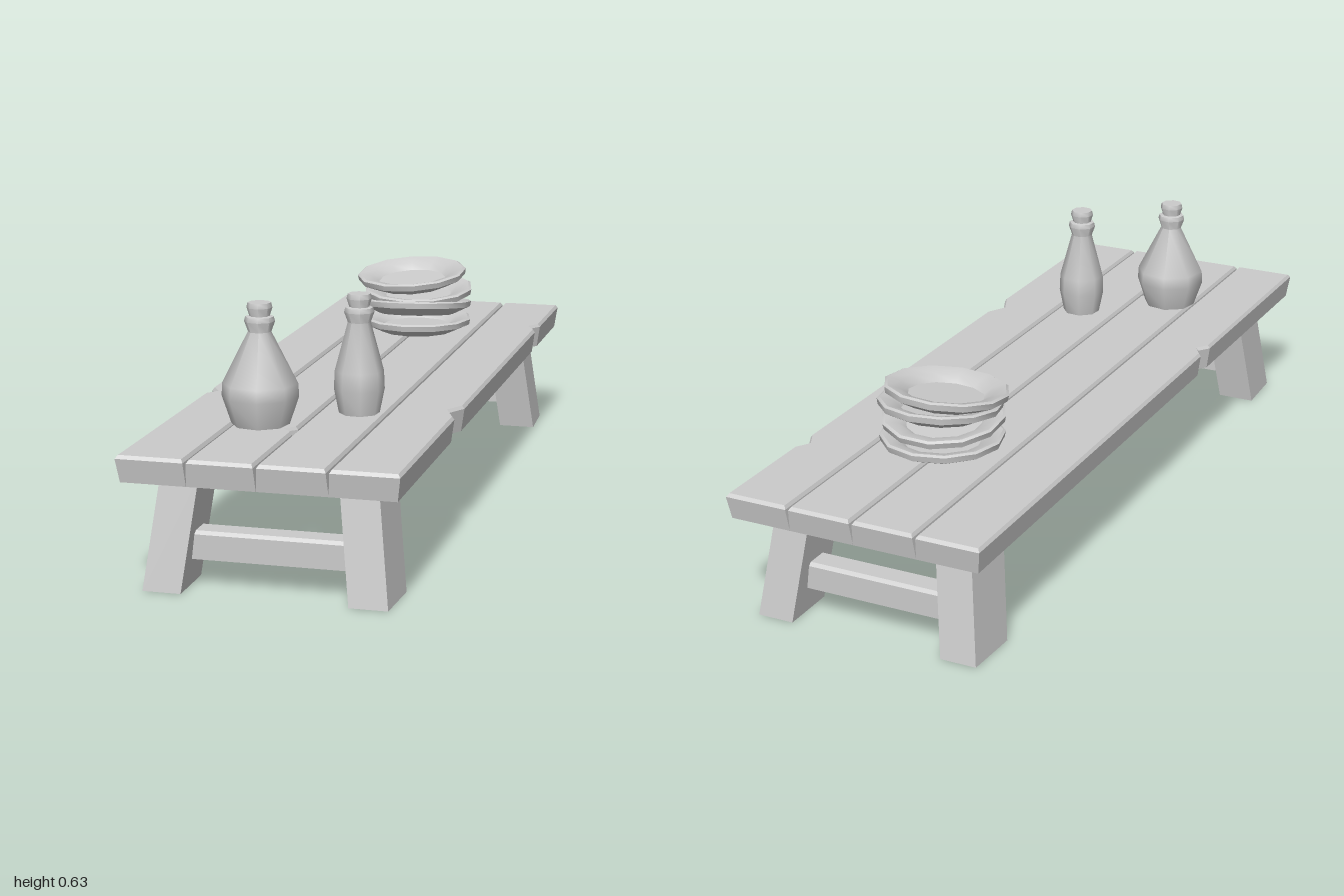
import * as THREE from 'three';
import { mergeVertices, toCreasedNormals } from 'three/addons/utils/BufferGeometryUtils.js';

const flatMat = new THREE.MeshStandardMaterial({ color: 0xcccccc, flatShading: true });
const smoothMat = new THREE.MeshStandardMaterial({ color: 0xcccccc });

// Solid through stacked rings of [x, y, z], counter-clockwise from above, lowest first.
function loft(rings) {
  const n = rings[0].length, index = [];
  for (let r = 0; r < rings.length - 1; r++) {
    for (let i = 0; i < n; i++) {
      const a = r * n + i, b = r * n + (i + 1) % n;
      index.push(a, b, b + n, a, b + n, a + n);
    }
  }
  const caps = THREE.ShapeUtils.triangulateShape(rings[0].map(([x, , z]) => new THREE.Vector2(x, -z)), []);
  const last = (rings.length - 1) * n;
  for (const [a, b, c] of caps) index.push(a, c, b, last + a, last + b, last + c);
  let geo = new THREE.BufferGeometry();
  geo.setAttribute('position', new THREE.Float32BufferAttribute(rings.flat(2), 3));
  geo.setIndex(index);
  geo = geo.toNonIndexed();
  geo.computeVertexNormals();
  return geo;
}

// Rectangle ring around (cx, cz).
const rect = (cx, y, cz, hx, hz) =>
  [[cx - hx, y, cz + hz], [cx + hx, y, cz + hz], [cx + hx, y, cz - hz], [cx - hx, y, cz - hz]];

function add(parent, name, geo, mat = flatMat) {
  const mesh = new THREE.Mesh(geo, mat);
  mesh.name = name;
  parent.add(mesh);
  return mesh;
}

// Board with chipped edges; each chip is [zStart, zDeepest, zEnd, depth].
function plank(x0, x1, leftChips, rightChips) {
  const levels = [
    { y: 0.27, outer: 0.008, inner: 0, end: 0.01 },
    { y: 0.327, outer: 0, inner: 0.004, end: 0 },
    { y: 0.335, outer: 0.006, inner: 0.009, end: 0.007 },
  ];
  return loft(levels.map(({ y, outer, inner, end }) => {
    const inset = x => (Math.abs(x) > 0.3 ? outer : inner);
    const l = x0 + inset(x0), r = x1 - inset(x1), e = 1 - end;
    const ring = [[l, y, e], [r, y, e]];
    for (const [a, b, c, d] of rightChips) ring.push([r, y, c], [r - d, y, b], [r, y, a]);
    ring.push([r, y, -e], [l, y, -e]);
    for (const [a, b, c, d] of leftChips) ring.push([l, y, a], [l + d, y, b], [l, y, c]);
    return ring;
  }));
}

function lathe(points, sides, crease) {
  let geo = new THREE.LatheGeometry(points.map(p => new THREE.Vector2(...p)), sides);
  geo.deleteAttribute('uv');
  geo.deleteAttribute('normal');
  return toCreasedNormals(mergeVertices(geo), crease);
}

// Bottle body with its own profile, below a shared ringed neck.
function bottle(body, sides) {
  return lathe([
    [0, 0], ...body,
    [0.028, 0.225], [0.037, 0.25], [0.034, 0.261], [0.025, 0.263],
    [0.025, 0.265], [0.031, 0.283], [0.028, 0.295], [0, 0.295],
  ], sides, 0.9);
}

export function createModel() {
  const model = new THREE.Group();
  model.name = 'tableWithTableware';

  // Table top: four boards, listed from -x to +x
  const top = new THREE.Group();
  top.name = 'tableTop';
  model.add(top);
  const chips = [
    [[[0.3, 0.335, 0.365, 0.022]], []],
    [[], [[0.64, 0.665, 0.69, 0.024]]],
    [[], []],
    [[], [[0.335, 0.385, 0.45, 0.027], [-0.7, -0.665, -0.62, 0.022]]],
  ];
  const edges = [-0.333, -0.167, -0.002, 0.167, 0.333];
  chips.forEach(([left, right], i) => add(top, `plank${i + 1}`, plank(edges[i], edges[i + 1], left, right)));

  // Trestle at each end: two splayed legs and a stretcher
  for (const end of [1, -1]) {
    const trestle = new THREE.Group();
    trestle.name = end > 0 ? 'frontTrestle' : 'backTrestle';
    model.add(trestle);
    for (const side of [1, -1]) {
      const ring = (y, xIn, xFront, xBack, zNear, zFar) => {
        const r = [[xIn, y, zFar], [xFront, y, zFar], [xBack, y, zNear], [xIn, y, zNear]]
          .map(([x, h, z]) => [x * side, h, z * end]);
        return side * end > 0 ? r : r.reverse();
      };
      add(trestle, side > 0 ? 'leftLeg' : 'rightLeg', loft([
        ring(0, 0.2, 0.293, 0.3, 0.8, 0.947),
        ring(0.272, 0.167, 0.26, 0.267, 0.752, 0.9),
      ]));
    }
    const z = 0.852 * end;
    add(trestle, 'stretcher', loft([
      rect(0, 0.067, z, 0.205, 0.035),
      rect(0, 0.127, z, 0.205, 0.035),
      rect(0, 0.135, z, 0.205, 0.027),
    ]));
  }

  // Bottles
  const wide = add(model, 'wideBottle',
    bottle([[0.07, 0], [0.093, 0.068], [0.091, 0.1]], 8), smoothMat);
  wide.position.set(-0.101, 0.335, 0.632);
  wide.rotation.y = 0.2;
  const slim = add(model, 'slimBottle',
    bottle([[0.05, 0], [0.062, 0.06], [0.06, 0.105]], 8), smoothMat);
  slim.position.set(0.099, 0.335, 0.465);
  slim.rotation.y = 0.3;

  // Untidy stack of plates: position, then tilt about x and z
  const plateGeo = lathe([
    [0, 0], [0.105, 0], [0.152, 0.022], [0.155, 0.037], [0.148, 0.041],
    [0.115, 0.032], [0.095, 0.015], [0, 0.015],
  ], 12, 0.6);
  const stack = new THREE.Group();
  stack.name = 'plateStack';
  model.add(stack);
  [
    [0.005, 0.335, -0.54, 0, 0],
    [0.007, 0.385, -0.525, -0.13, 0.02],
    [0.008, 0.422, -0.545, 0.1, 0],
    [-0.012, 0.464, -0.552, 0.07, 0.06],
  ].forEach(([x, y, z, rx, rz], i) => {
    const plate = add(stack, `plate${i + 1}`, plateGeo, smoothMat);
    plate.position.set(x, y, z);
    plate.rotation.set(rx, i * 0.25, rz);
  });

  return model;
}
